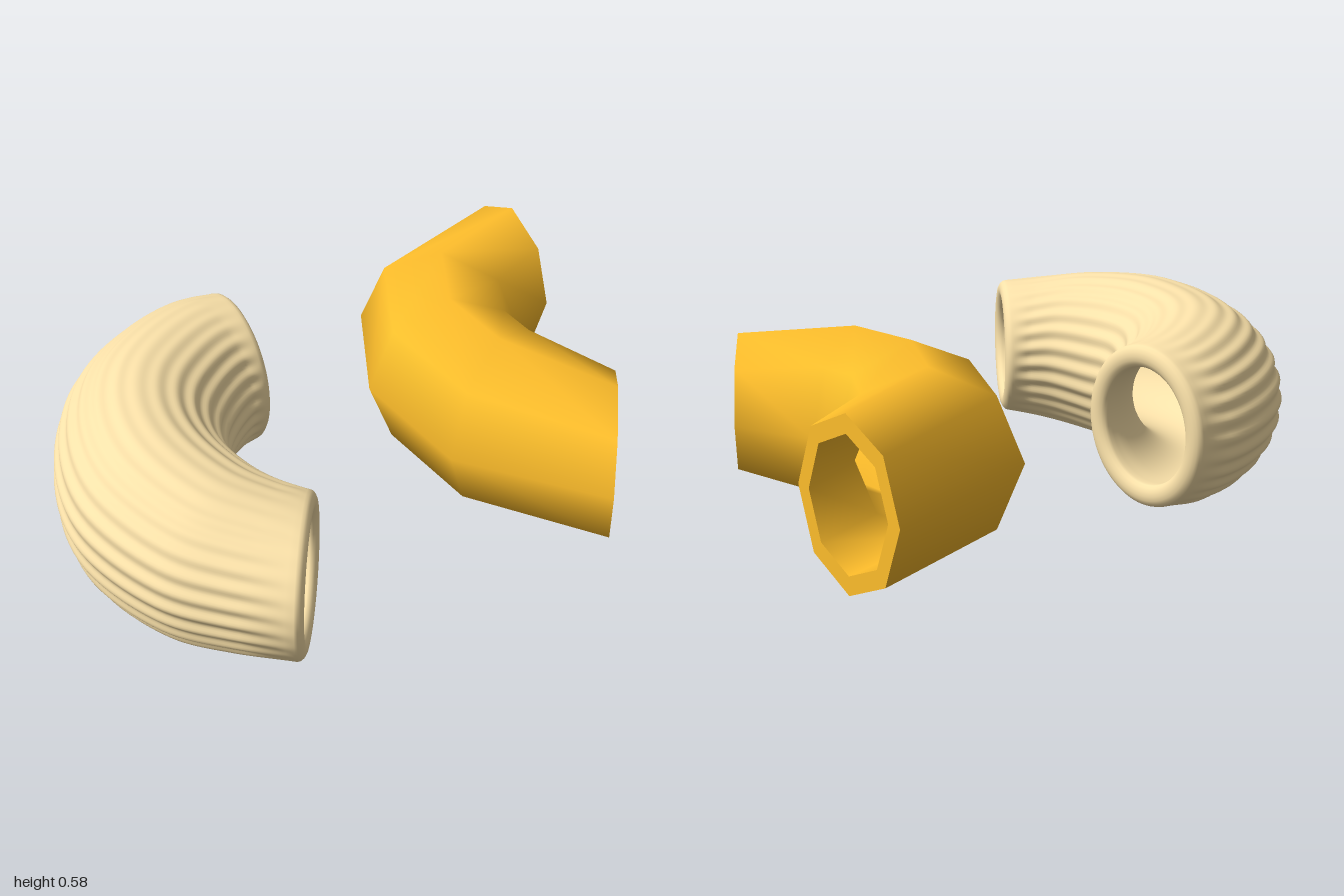
import * as THREE from 'three';

// Stations along each bent tube: outer x, outer z, inner x, inner z, half height
const RIDGED = [
  [-0.135, -0.75, -0.165, -0.255, 0.25], [-0.27, -0.765, -0.22, -0.24, 0.262],
  [-0.51, -0.69, -0.31, -0.18, 0.275], [-0.745, -0.52, -0.385, -0.095, 0.284],
  [-0.925, -0.23, -0.43, 0.0, 0.288], [-1.0, 0.09, -0.44, 0.09, 0.288],
  [-0.93, 0.42, -0.42, 0.2, 0.268], [-0.81, 0.6, -0.385, 0.265, 0.245],
  [-0.675, 0.75, -0.345, 0.315, 0.225],
];
const FACETED = [
  [0.997, -0.745, 0.965, -0.26, 0.255], [0.38, -0.54, 0.77, -0.16, 0.28],
  [0.16, -0.15, 0.69, -0.03, 0.285], [0.16, 0.31, 0.69, 0.05, 0.28],
  [0.455, 0.737, 0.785, 0.315, 0.225],
];
const MID_Y = 0.288;

// Turns a station into a section: centre, half-width vector, half height
function section([ox, oz, ix, iz, h]) {
  return {
    c: new THREE.Vector3((ox + ix) / 2, MID_Y, (oz + iz) / 2),
    u: new THREE.Vector3((ox - ix) / 2, 0, (oz - iz) / 2),
    h,
  };
}

// Elliptical ring around a section; shift slides it along the tube, groove(a) cuts into it
function ring(s, sides, scale, shift = 0, groove = () => 0) {
  const along = new THREE.Vector3(s.u.z, 0, -s.u.x).normalize();
  return Array.from({ length: sides }, (_, j) => {
    const a = (j / sides) * Math.PI * 2;
    const k = scale - groove(a);
    const p = s.c.clone().addScaledVector(s.u, k * Math.cos(a)).addScaledVector(along, shift);
    p.y += s.h * k * Math.sin(a);
    return p;
  });
}

// Skins a list of rings; loop joins the last ring to the first
function skin(rings, loop = false) {
  const n = rings[0].length, m = rings.length, index = [];
  for (let i = 0; i < (loop ? m : m - 1); i++) {
    for (let j = 0; j < n; j++) {
      const a = i * n + j, c = i * n + (j + 1) % n;
      const b = ((i + 1) % m) * n + j, d = ((i + 1) % m) * n + (j + 1) % n;
      index.push(a, b, c, b, d, c);
    }
  }
  const g = new THREE.BufferGeometry().setFromPoints(rings.flat());
  g.setIndex(index);
  g.computeVertexNormals();
  return g;
}

function mesh(name, geometry, material) {
  const m = new THREE.Mesh(geometry, material);
  m.name = name;
  return m;
}

// Smooth tube with lengthwise, slightly wavy ridges and rounded rims
function ridgedTube() {
  const outer = new THREE.CatmullRomCurve3(RIDGED.map(p => new THREE.Vector3(p[0], p[4], p[1])));
  const inner = new THREE.CatmullRomCurve3(RIDGED.map(p => new THREE.Vector3(p[2], 0, p[3])));
  const at = t => {
    const o = outer.getPoint(t), i = inner.getPoint(t);
    return section([o.x, o.z, i.x, i.z, o.y]);
  };
  const N = 60, SIDES = 240, WALL = 0.14, ROUND = 0.025, rings = [];
  // outside skin, ridges fading towards the ends and softer on top and bottom
  for (let i = 0; i <= N; i++) {
    const depth = 0.038 * Math.min(1, Math.min(i, N - i) / 6);
    const wave = 0.35 * Math.sin(i * 0.3);
    const groove = a => depth * (0.2 + 0.8 * Math.abs(Math.cos(a))) * (1 - Math.cos(28 * a + wave)) / 2;
    rings.push(ring(at(i / N), SIDES, 1, 0, groove));
  }
  const rim = (t, dir) => {
    for (let k = 1; k < 8; k++) {
      const a = (k / 8) * Math.PI;
      const f = dir * Math.cos(a);
      rings.push(ring(at(t), SIDES, 1 - WALL + WALL * f, dir * ROUND * Math.sin(a)));
    }
  };
  rim(1, 1);
  // bore
  for (let i = N; i >= 0; i -= 2) rings.push(ring(at(i / N), SIDES, 1 - 2 * WALL));
  rim(0, -1);
  return mesh('ridgedTube', skin(rings, true), new THREE.MeshStandardMaterial({ color: 0xfae1a9 }));
}

// Eight-sided tube with a few bends and flat rims
function facetedTube() {
  const g = new THREE.Group();
  g.name = 'facetedTube';
  const material = new THREE.MeshStandardMaterial({ color: 0xffbe2b });
  const s = FACETED.map(section), BORE = 0.78, last = s.length - 1;
  const rings = k => {
    const list = s.map(q => ring(q, 8, k));
    // flattened underside at the front mouth
    list[last][6].y += 0.015 * k;
    list[last][7].add(new THREE.Vector3(-0.01, -0.035, 0.015).multiplyScalar(k));
    return list;
  };
  const out = rings(1), bore = rings(BORE);
  g.add(
    mesh('outerWall', skin(out), material),
    mesh('innerWall', skin(bore.slice().reverse()), material),
    mesh('frontRim', skin([out[last], bore[last]]), material),
    mesh('backRim', skin([bore[0], out[0]]), material),
  );
  return g;
}

export function createModel() {
  const model = new THREE.Group();
  model.name = 'bentTubes';
  model.add(ridgedTube(), facetedTube());
  return model;
}
